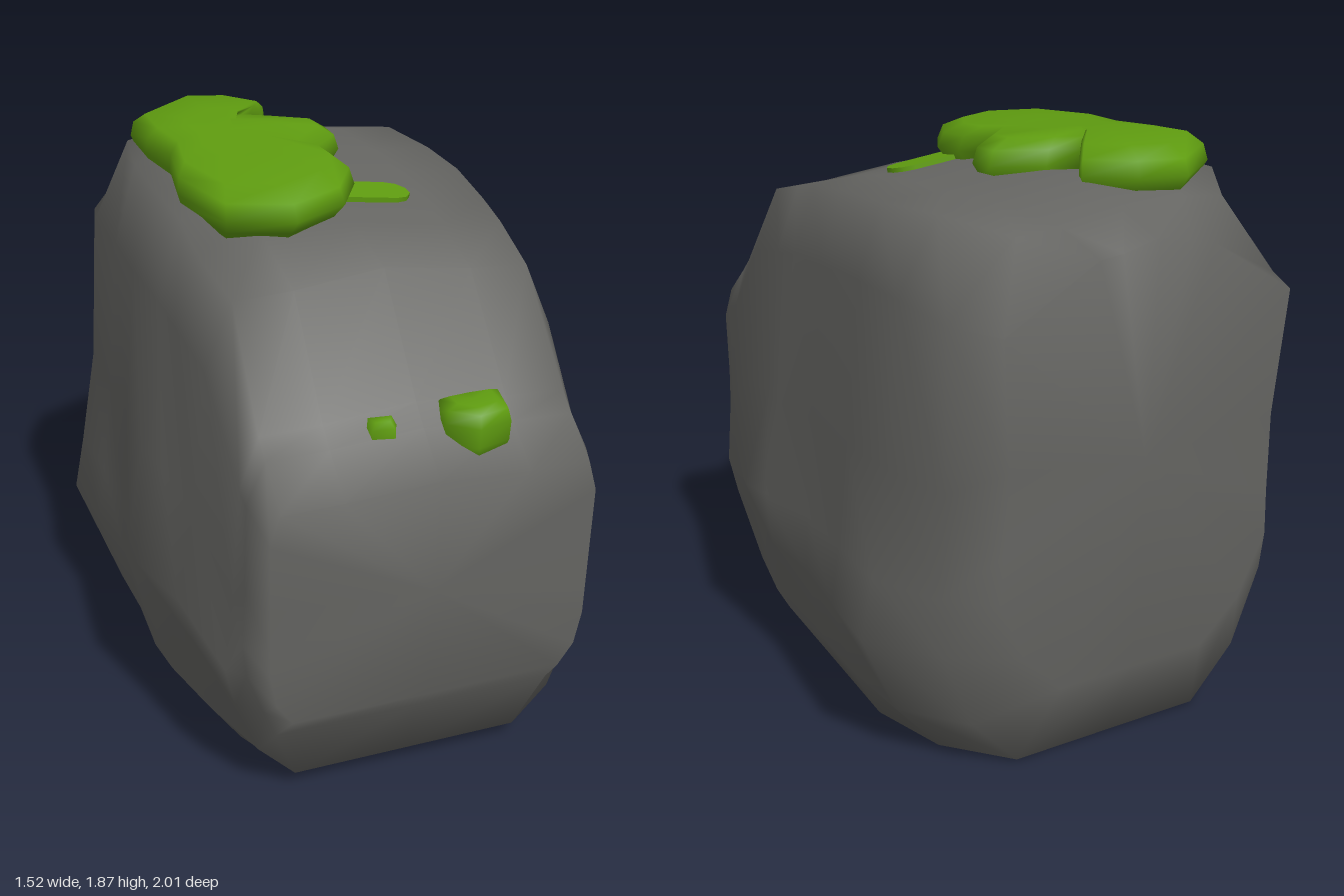
import * as THREE from 'three';

const V = (x, y, z) => new THREE.Vector3(x, y, z);

// Closed smooth skin over rings of points; both ends are capped by a fan
function loft(rings) {
  const n = rings[0].length, m = rings.length, pos = [], idx = [];
  rings.forEach(r => r.forEach(p => pos.push(p.x, p.y, p.z)));
  for (const r of [rings[0], rings[m - 1]]) {
    const c = r.reduce((s, p) => s.add(p), V(0, 0, 0)).divideScalar(n);
    pos.push(c.x, c.y, c.z);
  }
  for (let j = 0; j < n; j++) {
    const k = (j + 1) % n;
    for (let i = 0; i < m - 1; i++) {
      const a = i * n + j, b = i * n + k;
      idx.push(a, a + n, b, b, a + n, b + n);
    }
    idx.push(m * n, j, k, m * n + 1, (m - 1) * n + k, (m - 1) * n + j);
  }
  const g = new THREE.BufferGeometry();
  g.setAttribute('position', new THREE.Float32BufferAttribute(pos, 3));
  g.setIndex(idx);
  g.computeVertexNormals();
  return g;
}

// Boulder sections, front to back: z, bottom, top, half widths from bottom to top
const SECTIONS = [
  [0.985, 0.38, 1.13, 0.44, 0.49, 0.51, 0.51, 0.51, 0.51, 0.48],
  [0.87, 0.27, 1.24, 0.46, 0.50, 0.55, 0.56, 0.55, 0.54, 0.48],
  [0.81, 0.06, 1.30, 0.38, 0.50, 0.57, 0.60, 0.57, 0.54, 0.48],
  [0.55, 0.04, 1.62, 0.48, 0.59, 0.62, 0.67, 0.61, 0.56, 0.47],
  [0.30, 0.02, 1.68, 0.53, 0.64, 0.63, 0.74, 0.64, 0.58, 0.50],
  [0.15, 0.02, 1.71, 0.55, 0.66, 0.71, 0.73, 0.67, 0.59, 0.51],
  [-0.10, 0.01, 1.74, 0.56, 0.65, 0.70, 0.69, 0.66, 0.61, 0.53],
  [-0.35, 0.00, 1.75, 0.57, 0.66, 0.73, 0.70, 0.66, 0.61, 0.53],
  [-0.62, 0.00, 1.76, 0.50, 0.65, 0.76, 0.72, 0.66, 0.62, 0.49],
  [-0.83, 0.01, 1.72, 0.34, 0.50, 0.60, 0.61, 0.59, 0.58, 0.36],
  [-0.98, 0.30, 1.66, 0.26, 0.40, 0.49, 0.48, 0.47, 0.50, 0.20],
];
const LEVELS = [0, 0.1, 0.25, 0.36, 0.55, 0.84, 0.97];

function boulderGeometry() {
  return loft(SECTIONS.map(([z, yb, yt, ...w], i) => {
    // the end faces lean a little
    const tilt = i === 0 ? 0.03 : i === SECTIONS.length - 1 ? -0.05 : 0;
    const at = (x, t) => V(x, yb + (yt - yb) * t, z + tilt * (t - 0.5));
    const side = w.map((x, k) => at(x, LEVELS[k]));
    side.push(at(w[6] * 0.6, 0.977));
    // the right shoulder stands slightly higher than the left one
    const other = side.map(p => V(-p.x, p.y + (p.y > 1.64 ? 0.04 : 0), p.z)).reverse();
    return [at(0, 0), ...side, at(0, 1), ...other];
  }));
}

// Moss cushion: an outline seen from above (x, z) stacked in layers (scale, height)
function cushion(outline, cx, cz, layers, slope) {
  return loft(layers.map(([s, y]) => outline.map(([x, z]) =>
    V(cx + (x - cx) * s, y - slope * z, cz + (z - cz) * s))));
}

const MOSS = [
  [-0.24, -0.82], [-0.09, -0.78], [0.02, -0.65], [-0.01, -0.59], [-0.10, -0.48],
  [0.00, -0.43], [0.15, -0.34], [0.15, -0.24], [0.00, -0.07], [0.06, 0.00],
  [0.07, 0.12], [-0.03, 0.30], [-0.22, 0.41], [-0.42, 0.34], [-0.49, 0.05],
  [-0.45, -0.20], [-0.48, -0.40], [-0.48, -0.61],
];
const MOSS_LAYERS = [[0.82, 1.64], [0.92, 1.70], [1, 1.75], [0.96, 1.80], [0.82, 1.835], [0.4, 1.845]];

const LARGE_TUFT = [[0.06, 0.80], [0.17, 0.79], [0.28, 0.79], [0.25, 0.93], [0.14, 0.96], [0.06, 0.89]];
const LARGE_LAYERS = [[0.8, 1.14], [0.97, 1.19], [1, 1.25], [0.9, 1.29], [0.6, 1.305]];

const SMALL_TUFT = [[-0.18, 0.80], [-0.06, 0.82], [-0.09, 0.88], [-0.16, 0.87]];
const SMALL_LAYERS = [[0.8, 1.17], [1, 1.21], [0.95, 1.255], [0.6, 1.275]];

export function createModel() {
  const model = new THREE.Group();
  const stone = new THREE.MeshStandardMaterial({ color: 0x666663 });
  stone.name = 'greyStone';
  const green = new THREE.MeshStandardMaterial({ color: 0x5f9c10 });
  green.name = 'mossGreen';

  const add = (name, geometry, material, parent = model) => {
    const mesh = new THREE.Mesh(geometry, material);
    mesh.name = name;
    parent.add(mesh);
    return mesh;
  };

  add('boulder', boulderGeometry(), stone);
  add('topMoss', cushion(MOSS, -0.25, -0.3, MOSS_LAYERS, 0.03), green);
  add('largeTuft', cushion(LARGE_TUFT, 0.16, 0.86, LARGE_LAYERS, 0), green);
  add('smallTuft', cushion(SMALL_TUFT, -0.12, 0.84, SMALL_LAYERS, 0), green);

  // Flat tongue of moss creeping over the top
  const tongue = new THREE.Group();
  tongue.name = 'mossTongue';
  tongue.position.set(0.1, 1.704, 0.1);
  tongue.rotation.set(0.12, 0, -0.13);
  add('mossStrip', new THREE.BoxGeometry(0.2, 0.03, 0.13), green, tongue);
  add('mossStripEnd', new THREE.CylinderGeometry(0.065, 0.065, 0.03, 10), green, tongue).position.x = 0.1;
  model.add(tongue);
  return model;
}
